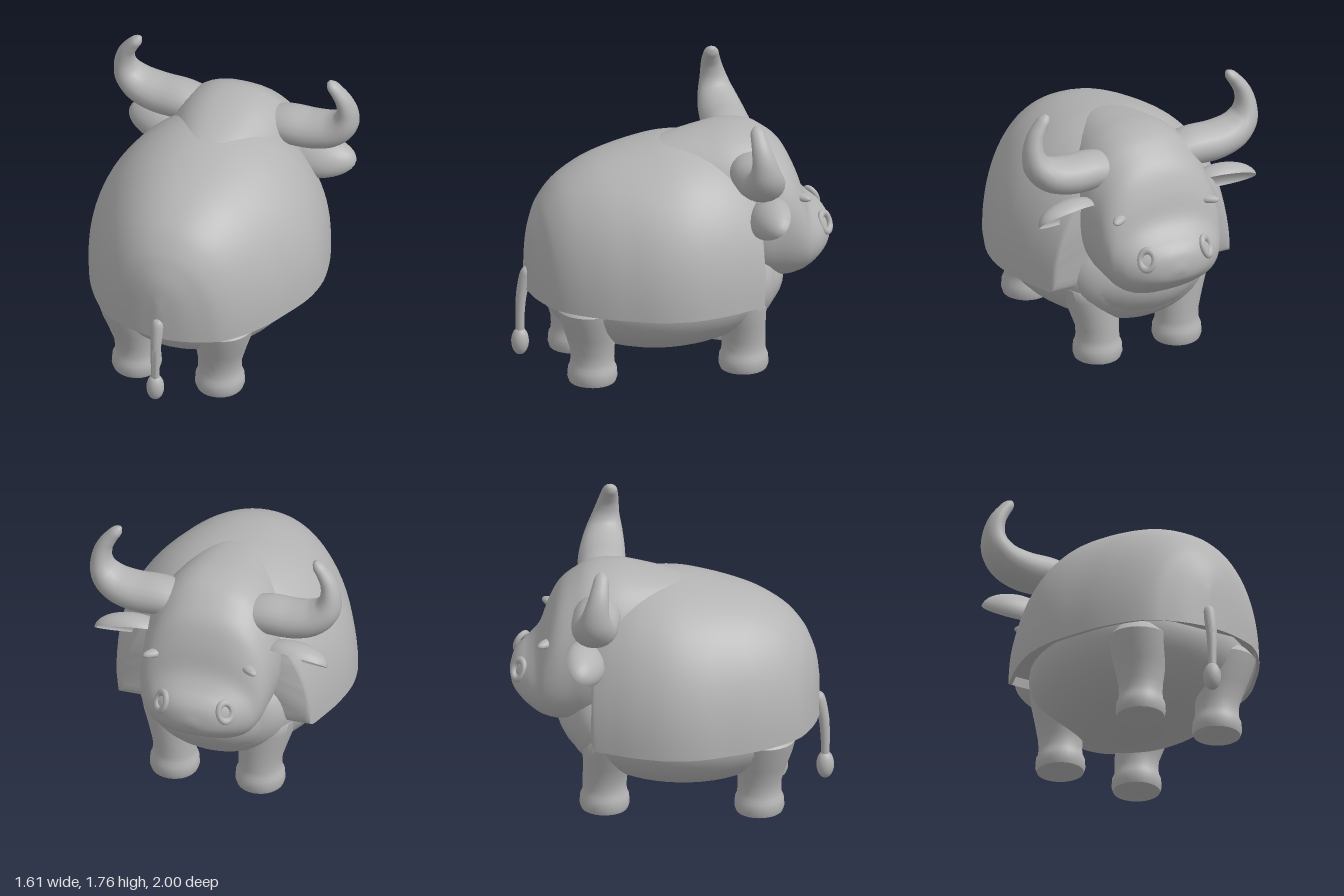
import * as THREE from 'three';
import { toCreasedNormals } from 'three/addons/utils/BufferGeometryUtils.js';

const grey = new THREE.MeshStandardMaterial({ color: 0xb4b4b4 });
grey.name = 'clay grey';

// Skin a list of closed rings and cap both ends
function loft(rings) {
  const n = rings[0].length, pos = rings.flat(2), idx = [];
  for (let i = 0; i < rings.length - 1; i++) {
    for (let j = 0; j < n; j++) {
      const a = i * n + j, b = i * n + (j + 1) % n;
      idx.push(a, a + n, b, b, a + n, b + n);
    }
  }
  [0, rings.length - 1].forEach((r, end) => {
    const c = pos.length / 3;
    for (let k = 0; k < 3; k++) pos.push(rings[r].reduce((s, p) => s + p[k], 0) / n);
    for (let j = 0; j < n; j++) {
      const a = r * n + j, b = r * n + (j + 1) % n;
      idx.push(c, end ? b : a, end ? a : b);
    }
  });
  const g = new THREE.BufferGeometry();
  g.setAttribute('position', new THREE.Float32BufferAttribute(pos, 3));
  g.setIndex(idx);
  return g;
}

// Catmull-Rom interpolation of section tables
function smoothRows(rows, sub = 4) {
  const out = [], at = i => rows[Math.max(0, Math.min(rows.length - 1, i))];
  for (let i = 0; i < rows.length - 1; i++) {
    for (let s = 0; s < sub; s++) {
      const t = s / sub;
      out.push(rows[i].map((_, k) => {
        const [a, b, c, d] = [at(i - 1)[k], at(i)[k], at(i + 1)[k], at(i + 2)[k]];
        return b + 0.5 * t * (c - a + t * (2 * a - 5 * b + 4 * c - d + t * (3 * (b - c) + d - a)));
      }));
    }
  }
  out.push(rows[rows.length - 1]);
  return out;
}

// Tapered tube; rows are x, y, z, radius; side is the fixed cross axis
function sweep(rows, side, stretch = 1, n = 20) {
  const r = smoothRows(rows, 5), P = r.map(p => new THREE.Vector3(p[0], p[1], p[2]));
  return loft(r.map((p, i) => {
    const d = P[Math.min(i + 1, P.length - 1)].clone().sub(P[Math.max(i - 1, 0)]).normalize();
    const o1 = d.clone().cross(side).normalize();
    return Array.from({ length: n }, (_, j) => {
      const a = j / n * Math.PI * 2;
      return P[i].clone().addScaledVector(o1, p[3] * Math.cos(a))
        .addScaledVector(side, p[3] * stretch * Math.sin(a)).toArray();
    });
  }));
}

const pw = (v, e) => Math.sign(v) * Math.abs(v) ** e;

const ellipsoid = (rx, ry, rz, w = 40, h = 28) => new THREE.SphereGeometry(1, w, h).scale(rx, ry, rz);

// Blanket sections: z, top, half width, bottom
function blanketGeometry() {
  const rows = smoothRows([
    [0.91, 0.78, 0.03, 0.53], [0.89, 0.92, 0.16, 0.53], [0.85, 1.03, 0.28, 0.53],
    [0.8, 1.12, 0.38, 0.53], [0.7, 1.23, 0.48, 0.53], [0.55, 1.32, 0.58, 0.53],
    [0.4, 1.375, 0.65, 0.53], [0.2, 1.42, 0.725, 0.53], [0, 1.45, 0.745, 0.53],
    [-0.2, 1.44, 0.71, 0.53], [-0.35, 1.39, 0.66, 0.53], [-0.44, 1.33, 0.625, 0.53],
    [-0.465, 1.3, 0.61, 0.55], [-0.475, 1.27, 0.59, 0.6]]);
  return loft(rows.map(([z, top, w, bot]) => {
    const ring = [], lift = z > 0.86 || z < -0.44 ? 0 : 0.06;
    for (let j = 0; j <= 40; j++) {
      const a = j / 40 * Math.PI;
      ring.push([w * pw(Math.cos(a), 0.93), bot + (top - bot) * pw(Math.max(0, Math.sin(a)), 0.93), z]);
    }
    // hollow underside with a thin rim
    ring.push([-w * 0.96, bot, z], [-w * 0.93, bot + lift, z], [w * 0.93, bot + lift, z], [w * 0.96, bot, z]);
    return ring;
  }));
}

// Head sections from the neck hump to the muzzle: z, top, bottom, half width
function headGeometry() {
  const rows = smoothRows([
    [0.25, 1.39, 1.0, 0.2], [0, 1.46, 0.9, 0.29], [-0.2, 1.5, 0.7, 0.38],
    [-0.35, 1.52, 0.6, 0.42], [-0.5, 1.505, 0.54, 0.43], [-0.6, 1.45, 0.53, 0.42],
    [-0.7, 1.36, 0.53, 0.41], [-0.77, 1.22, 0.55, 0.39], [-0.82, 1.07, 0.58, 0.36],
    [-0.88, 0.99, 0.625, 0.315], [-0.94, 0.94, 0.675, 0.235], [-0.98, 0.89, 0.72, 0.14],
    [-1, 0.82, 0.78, 0.03]]);
  return loft(rows.map(([z, top, bot, w]) => Array.from({ length: 40 }, (_, j) => {
    const a = j / 40 * Math.PI * 2, s = Math.sin(a);
    return [w * pw(Math.cos(a), 0.8) * (1 - 0.12 * Math.max(0, s)),
      (top + bot) / 2 + (top - bot) / 2 * pw(s, 0.82), z];
  })));
}

// Cupped leaf-shaped ear opening forward and down
function earGeometry() {
  const g = new THREE.SphereGeometry(1, 28, 20), p = g.attributes.position;
  for (let i = 0; i < p.count; i++) {
    const x = p.getX(i), y = p.getY(i);
    p.setXYZ(i, x, y > 0 ? -0.55 * y : y, p.getZ(i) * (1 - 0.12 * x));
  }
  return g.scale(0.22, 0.11, 0.14).rotateX(-2.4).rotateY(0.15).translate(0.53, 1.07, -0.525);
}

// Stout leg with a rounded hoof, leaning toward the body at the top
function legGeometry(x, z, leanZ) {
  const profile = [[0, 0.02], [0.1, 0.012], [0.145, 0], [0.155, 0.03], [0.151, 0.085], [0.139, 0.11],
    [0.135, 0.15], [0.137, 0.21], [0.158, 0.32], [0.18, 0.42], [0.19, 0.5], [0.13, 0.56], [0, 0.6]];
  const g = new THREE.LatheGeometry(profile.map(q => new THREE.Vector2(...q)), 32);
  const p = g.attributes.position;
  for (let i = 0; i < p.count; i++) {
    const up = Math.max(0, p.getY(i) - 0.2);
    p.setX(i, p.getX(i) + 0.12 * up);
    p.setZ(i, p.getZ(i) + leanZ * up);
  }
  return g.translate(x, 0, z);
}

export function createModel() {
  const model = new THREE.Group();
  model.name = 'bull';
  const add = (name, g, crease = 0.9) => {
    const mesh = new THREE.Mesh(toCreasedNormals(g, crease), grey);
    mesh.name = name;
    model.add(mesh);
  };
  const pair = (name, g, crease) => {
    const m = g.clone().scale(-1, 1, 1);
    m.setIndex(Array.from(g.index.array).reverse());
    add('left' + name, g, crease);
    add('right' + name, m, crease);
  };

  add('belly', ellipsoid(0.63, 0.42, 0.77).translate(0, 0.55, 0.06));
  add('chest', ellipsoid(0.47, 0.34, 0.27).translate(0, 0.56, -0.4));
  add('blanket', blanketGeometry());
  add('head', headGeometry());

  // Horns sweep out and curl up
  pair('Horn', sweep([
    [0.18, 1.3, -0.45, 0.1], [0.34, 1.325, -0.45, 0.117], [0.5, 1.328, -0.455, 0.117],
    [0.63, 1.36, -0.455, 0.108], [0.71, 1.43, -0.45, 0.09], [0.735, 1.52, -0.44, 0.067],
    [0.72, 1.61, -0.425, 0.052], [0.68, 1.68, -0.415, 0.042], [0.645, 1.725, -0.41, 0.034],
    [0.625, 1.752, -0.41, 0.014]], new THREE.Vector3(0, 0, 1), 1.25), 1.2);
  pair('Ear', earGeometry(), 1.2);
  pair('FrontLeg', legGeometry(0.275, -0.405, 0.2));
  pair('RearLeg', legGeometry(0.275, 0.55, 0.12));

  // Closed eyelids and nostril rims
  pair('Eyelid', ellipsoid(0.08, 0.026, 0.035, 20, 12).rotateY(0.7).translate(0.3, 1.11, -0.76));
  pair('Nostril', new THREE.TorusGeometry(0.046, 0.018, 10, 24).scale(1, 1.3, 1)
    .rotateX(0.35).rotateY(-0.75).translate(0.205, 0.885, -0.938));

  // Tail with a round tuft
  add('tail', sweep([
    [0, 0.66, 0.885, 0.012], [0, 0.645, 0.9, 0.036], [0, 0.59, 0.917, 0.038],
    [0, 0.48, 0.938, 0.033], [0, 0.35, 0.945, 0.028], [0, 0.22, 0.945, 0.026]],
  new THREE.Vector3(1, 0, 0)), 1.2);
  add('tailTuft', ellipsoid(0.055, 0.09, 0.055, 20, 16).translate(0, 0.18, 0.945));
  return model;
}
